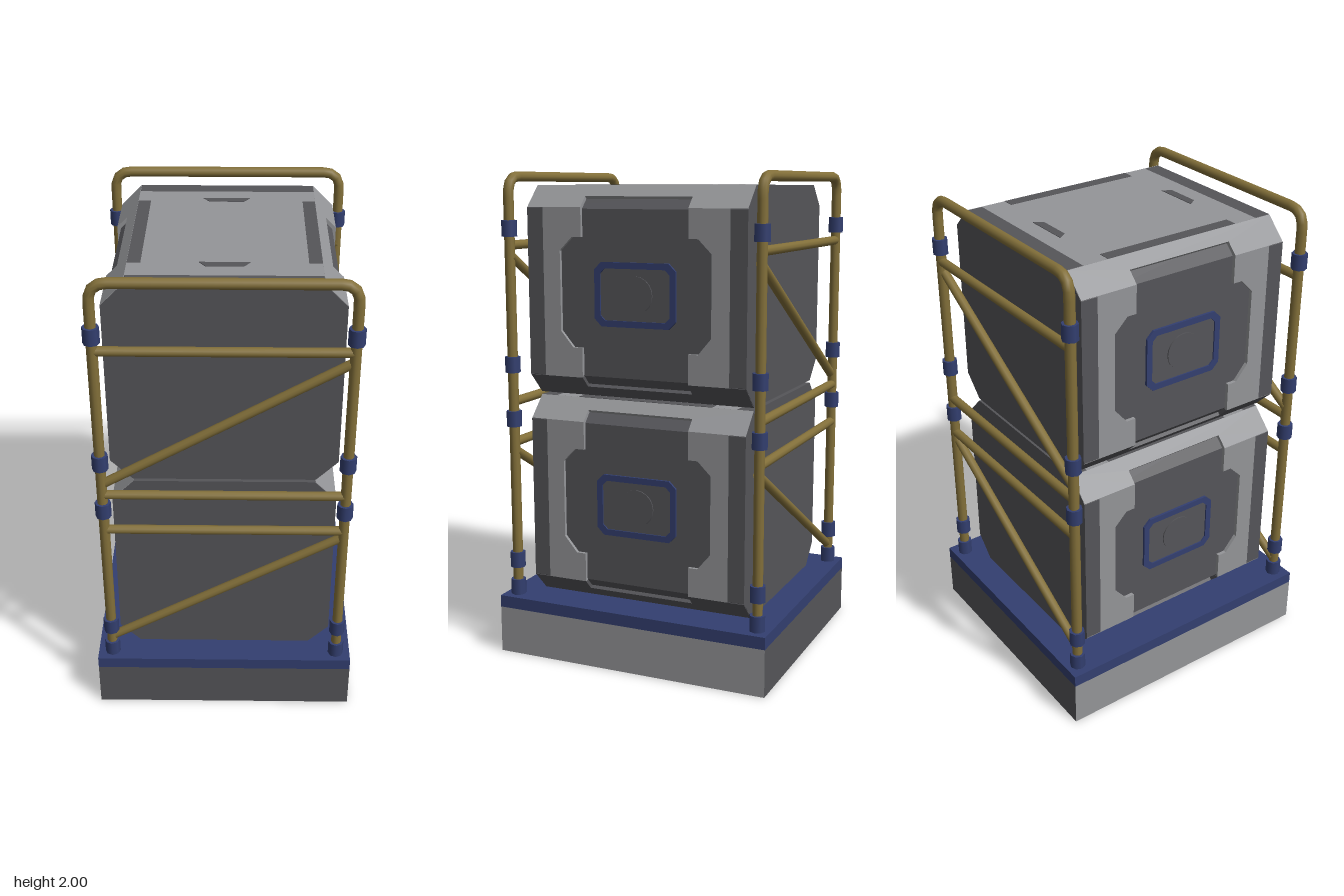
import * as THREE from 'three';

const mat = (name, color) => new THREE.MeshStandardMaterial({ name, color });
const dark = mat('darkGrey', 0x555559);
const light = mat('lightGrey', 0x949598);
const blue = mat('blue', 0x333f70);
const gold = mat('ochre', 0x83703a);

const add = (parent, name, geo, material, x = 0, y = 0, z = 0) => {
  const m = new THREE.Mesh(geo, material);
  m.name = name;
  m.position.set(x, y, z);
  parent.add(m);
  return m;
};
const box = (w, h, d) => new THREE.BoxGeometry(w, h, d);
const shape = (pts) => new THREE.Shape(pts.map(([x, y]) => new THREE.Vector2(x, y)));
const extrude = (s, depth) => new THREE.ExtrudeGeometry(s, { depth, bevelEnabled: false });

// Rectangle with cut corners: half width, bottom, top, cut size
const cutRect = (w, b, t, c) => [
  [-w + c, b], [w - c, b], [w, b + c], [w, t - c],
  [w - c, t], [-w + c, t], [-w, t - c], [-w, b + c],
];

const W = 0.445, H = 0.845, C = 0.085, T = 0.015, PANEL_Y = 0.4225;

// One side of a crate, facing +x
function createSide() {
  const side = new THREE.Group();
  side.name = 'crateSide';
  const toX = (geo) => geo.rotateY(Math.PI / 2);

  // Raised frame halves around the recessed panel
  for (const s of [-1, 1]) {
    const pts = [[0.23, C], [0.4, C], [0.4, H - C], [0.23, H - C], [0.23, 0.645], [0.27, 0.645],
      [0.325, 0.59], [0.325, 0.27], [0.27, 0.205], [0.23, 0.205]].map(([z, y]) => [s * z, y]);
    add(side, 'sideFrame', toX(extrude(shape(pts), T)), light, W - T);
  }

  // Notched chamfer plates along the top and bottom edges
  for (const s of [-1, 1]) {
    const pts = [[-0.469, 0], [-0.23, 0], [-0.23, 0.06], [0.23, 0.06], [0.23, 0],
      [0.469, 0], [0.469, 0.12], [-0.469, 0.12]].map(([u, v]) => [u, s * v]);
    const geo = toX(extrude(shape(pts), T)).translate(-T, 0, 0).rotateZ(s * Math.PI / 4);
    add(side, s > 0 ? 'topChamfer' : 'bottomChamfer', geo, s > 0 ? light : dark, W, s > 0 ? H - C : C);
  }

  // Blue ring, inner plate and round button
  const ring = shape(cutRect(0.175, -0.127, 0.127, 0.03));
  ring.holes.push(shape(cutRect(0.15, -0.102, 0.102, 0.02)));
  add(side, 'panelRing', toX(extrude(ring, 0.01)), blue, W - T, PANEL_Y);
  add(side, 'panelPlate', toX(extrude(shape(cutRect(0.15, -0.102, 0.102, 0.02)), 0.004)), dark, W - T, PANEL_Y);
  add(side, 'panelButton', new THREE.CylinderGeometry(0.075, 0.075, 0.01, 20).rotateZ(Math.PI / 2),
    dark, W - T + 0.004, PANEL_Y);
  return side;
}

function createCrate(y) {
  const crate = new THREE.Group();
  crate.name = 'crate';
  crate.position.y = y;

  // Recessed core and full-size end caps
  const core = extrude(shape(cutRect(W - T, T, H - T, 0.076)), 0.8);
  add(crate, 'crateCore', core, dark, 0, 0, -0.4);
  for (const z of [-0.47, 0.4]) {
    add(crate, 'endCap', extrude(shape(cutRect(W, 0, H, 0.088)), 0.07), dark, 0, 0, z);
  }

  // Lid and underside
  add(crate, 'lid', box(0.72, T, 0.8), light, 0, H - T / 2);
  add(crate, 'underside', box(0.72, T, 0.8), dark, 0, T / 2);

  // Dark inlays on the lid
  for (const s of [-1, 1]) {
    add(crate, 'lidStrip', box(0.05, 0.003, 0.59), dark, s * 0.334, H);
    const inlay = shape([[-0.07, -0.018], [0.07, -0.018], [0.095, 0.018], [-0.095, 0.018]]);
    add(crate, 'lidInlay', extrude(inlay, 0.002).rotateX(-Math.PI / 2), dark, 0, H, s * 0.308);
  }

  const left = createSide();
  const right = createSide();
  right.rotation.y = Math.PI;
  crate.add(left, right);
  return crate;
}

// Round bar between two points
function addBar(parent, name, a, b, r) {
  const from = new THREE.Vector3(...a), dir = new THREE.Vector3(...b).sub(from);
  const bar = add(parent, name, new THREE.CylinderGeometry(r, r, dir.length(), 10), gold);
  bar.position.copy(from).addScaledVector(dir, 0.5);
  bar.quaternion.setFromUnitVectors(new THREE.Vector3(0, 1, 0), dir.normalize());
}

function createRail(z) {
  const rail = new THREE.Group();
  rail.name = 'guardRail';
  const X = 0.475, TOP = 1.979, R = 0.07;
  const v = (x, y) => new THREE.Vector3(x, y, z);

  // Hoop with rounded top corners
  const path = new THREE.CurvePath();
  path.add(new THREE.LineCurve3(v(-X, 0.24), v(-X, TOP - R)));
  path.add(new THREE.QuadraticBezierCurve3(v(-X, TOP - R), v(-X, TOP), v(-X + R, TOP)));
  path.add(new THREE.LineCurve3(v(-X + R, TOP), v(X - R, TOP)));
  path.add(new THREE.QuadraticBezierCurve3(v(X - R, TOP), v(X, TOP), v(X, TOP - R)));
  path.add(new THREE.LineCurve3(v(X, TOP - R), v(X, 0.24)));
  add(rail, 'hoop', new THREE.TubeGeometry(path, 140, 0.021, 10), gold);

  // Cross bars and diagonal braces
  for (const y of [0.9, 1.07, 1.708]) addBar(rail, 'crossBar', [-X, y, z], [X, y, z], 0.019);
  const inner = z - Math.sign(z) * 0.006;
  for (const [y0, y1] of [[0.325, 0.865], [1.115, 1.665]]) {
    addBar(rail, 'diagonalBrace', [-X, y0, inner], [X, y1, inner], 0.019);
  }

  // Collars on the posts
  for (const x of [-X, X]) {
    for (const y of [0.277, 0.396, 1.0, 1.225, 1.775]) {
      add(rail, 'collar', new THREE.CylinderGeometry(0.032, 0.032, 0.065, 8), blue, x, y, z);
    }
  }
  return rail;
}

export function createModel() {
  const model = new THREE.Group();
  model.name = 'crateRack';

  // Plinth with light long sides and a blue deck
  add(model, 'plinth', box(1.07, 0.195, 1.18), [light, light, dark, dark, dark, dark], 0, 0.0975);
  add(model, 'deck', box(1.07, 0.05, 1.18), blue, 0, 0.22);

  for (const y of [0.243, 1.1]) model.add(createCrate(y));
  for (const z of [-0.537, 0.537]) model.add(createRail(z));
  return model;
}
